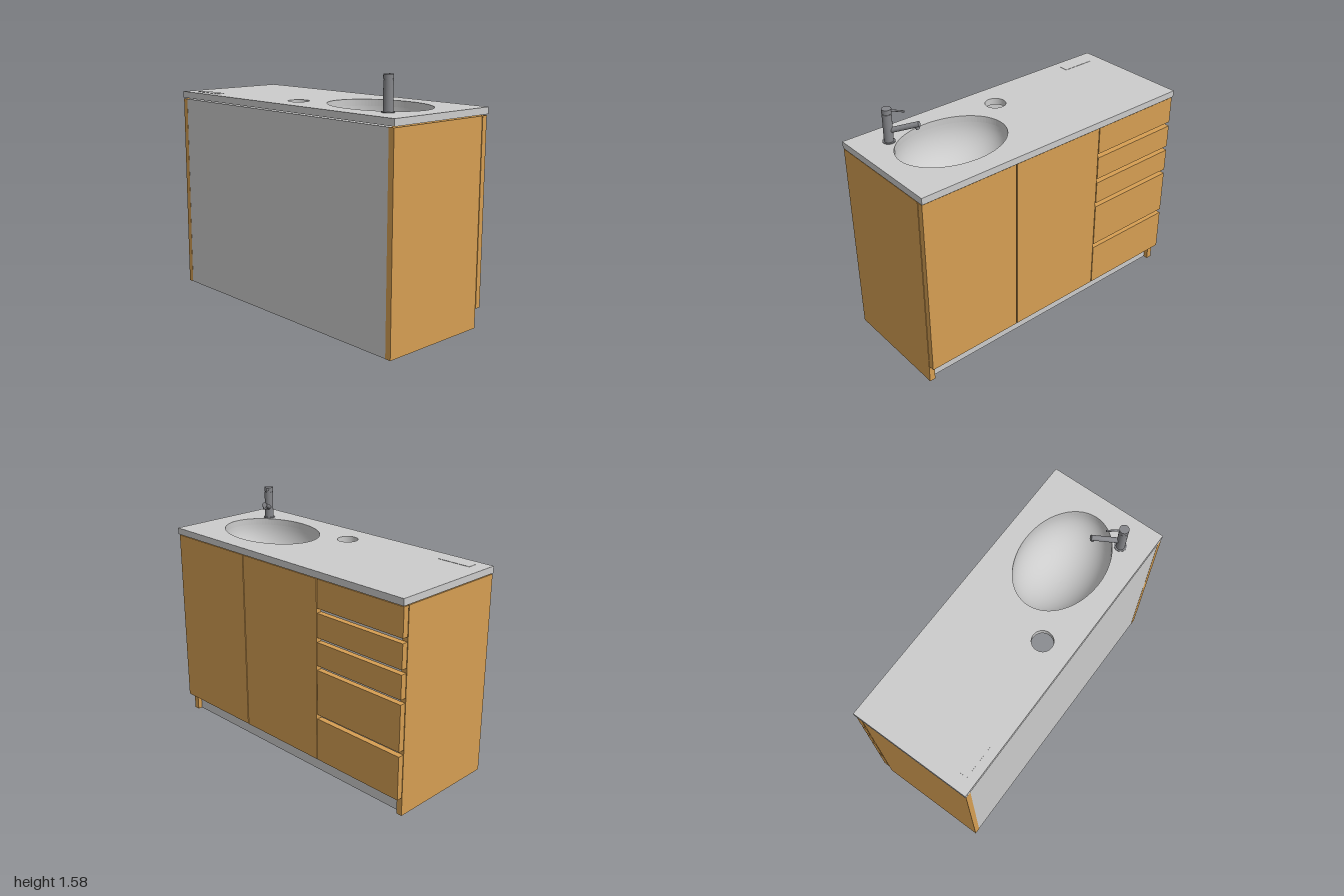
import * as THREE from 'three';

const grey = new THREE.MeshStandardMaterial({ color: 0xcccccc });
const greyThin = new THREE.MeshStandardMaterial({ color: 0xcccccc, side: THREE.DoubleSide });
const wood = new THREE.MeshStandardMaterial({ color: 0xd59e52 });
const metal = new THREE.MeshStandardMaterial({ color: 0x85868a });

const TOP = 1.366, UNDER = 1.323, CASE = 1.316;
const BASIN = { x: 0.5, z: 0, rx: 0.365, rz: 0.268, depth: 0.27 };

export function createModel() {
  const model = new THREE.Group();

  const add = (name, geometry, material, parent = model) => {
    const mesh = new THREE.Mesh(geometry, material);
    mesh.name = name;
    parent.add(mesh);
    return mesh;
  };
  // Box given by its lowest and highest corners
  const box = (name, material, x0, x1, y0, y1, z0, z1) => {
    const mesh = add(name, new THREE.BoxGeometry(x1 - x0, y1 - y0, z1 - z0), material);
    mesh.position.set((x0 + x1) / 2, (y0 + y1) / 2, (z0 + z1) / 2);
    return mesh;
  };

  // Open carcass: two wooden sides, a grey panel and a recessed plinth panel
  box('leftSidePanel', wood, 0.957, 0.996, 0, CASE, -0.352, 0.402);
  box('rightSidePanel', wood, -0.996, -0.957, 0, CASE, -0.352, 0.402);
  box('frontPanel', grey, -0.957, 0.957, 0, CASE, 0.363, 0.401);
  box('plinthPanel', grey, -0.957, 0.957, 0, CASE, -0.322, -0.285);

  // Two doors and a stack of drawers with finger gaps
  const zFace = -0.395, zBack = -0.357, seam = 0.003;
  box('leftDoor', wood, 0.333 + seam, 0.996, 0.125, CASE, zFace, zBack);
  box('rightDoor', wood, -0.333 + seam, 0.333 - seam, 0.125, CASE, zFace, zBack);
  const bottoms = [1.135, 0.95, 0.768, 0.44, 0.125];
  bottoms.forEach((y, i) => {
    const top = i ? bottoms[i - 1] - 0.03 : CASE;
    box('drawer' + (i + 1), wood, -0.996, -0.333 - seam, y, top, zFace, zBack);
  });

  // Countertop with basin cut-out and waste hole (shape y becomes -z)
  const slab = new THREE.Shape([
    new THREE.Vector2(-1, -0.403), new THREE.Vector2(1, -0.403),
    new THREE.Vector2(1, 0.403), new THREE.Vector2(-1, 0.403),
  ]);
  slab.holes.push(
    new THREE.Path().absellipse(BASIN.x, -BASIN.z, BASIN.rx, BASIN.rz, 0, Math.PI * 2, true),
    new THREE.Path().absellipse(0, -0.21, 0.067, 0.067, 0, Math.PI * 2, true),
  );
  const slabGeo = new THREE.ExtrudeGeometry(slab, { depth: TOP - UNDER, bevelEnabled: false, curveSegments: 48 });
  slabGeo.rotateX(-Math.PI / 2);
  add('countertop', slabGeo, grey).position.y = UNDER;

  // Half-ellipsoid basin bowl hanging below the countertop
  const bowl = [];
  for (let i = 0; i <= 20; i++) {
    const a = (i / 20) * Math.PI / 2;
    bowl.push(new THREE.Vector2(Math.sin(a), -Math.cos(a)));
  }
  const basin = add('basin', new THREE.LatheGeometry(bowl, 64), greyThin);
  basin.scale.set(BASIN.rx, BASIN.depth, BASIN.rz);
  basin.position.set(BASIN.x, UNDER + 0.001, BASIN.z);

  // Thin flush plate on the countertop
  box('inlayPlate', grey, -0.91, -0.685, TOP - 0.003, TOP + 0.002, 0.285, 0.345);

  // Faucet, built with its spout along local +x then turned towards the basin
  const faucet = new THREE.Group();
  faucet.name = 'faucet';
  faucet.position.set(0.788, TOP, 0.23);
  faucet.rotation.y = Math.atan2(0.15, -0.125);
  model.add(faucet);

  const rod = (name, r, from, to) => {
    const a = new THREE.Vector3(...from), b = new THREE.Vector3(...to);
    const dir = b.clone().sub(a);
    const mesh = add(name, new THREE.CylinderGeometry(r, r, dir.length(), 32), metal, faucet);
    mesh.position.copy(a).add(b).multiplyScalar(0.5);
    mesh.quaternion.setFromUnitVectors(new THREE.Vector3(0, 1, 0), dir.normalize());
    return mesh;
  };
  rod('faucetFlange', 0.039, [0, 0, 0], [0, 0.005, 0]);
  rod('faucetBody', 0.029, [0, 0, 0], [0, 0.182, 0]);
  rod('faucetNeck', 0.026, [0, 0.182, 0], [0, 0.187, 0]);
  rod('faucetCap', 0.03, [0, 0.187, 0], [0, 0.214, 0]);
  rod('faucetSpout', 0.017, [0, 0.07, 0], [0.192, 0.132, 0]);
  rod('faucetAerator', 0.013, [0.174, 0.125, 0], [0.182, 0.1, 0]);
  rod('faucetLever', 0.006, [0, 0.205, 0], [0.107, 0.205, 0]);

  return model;
}
